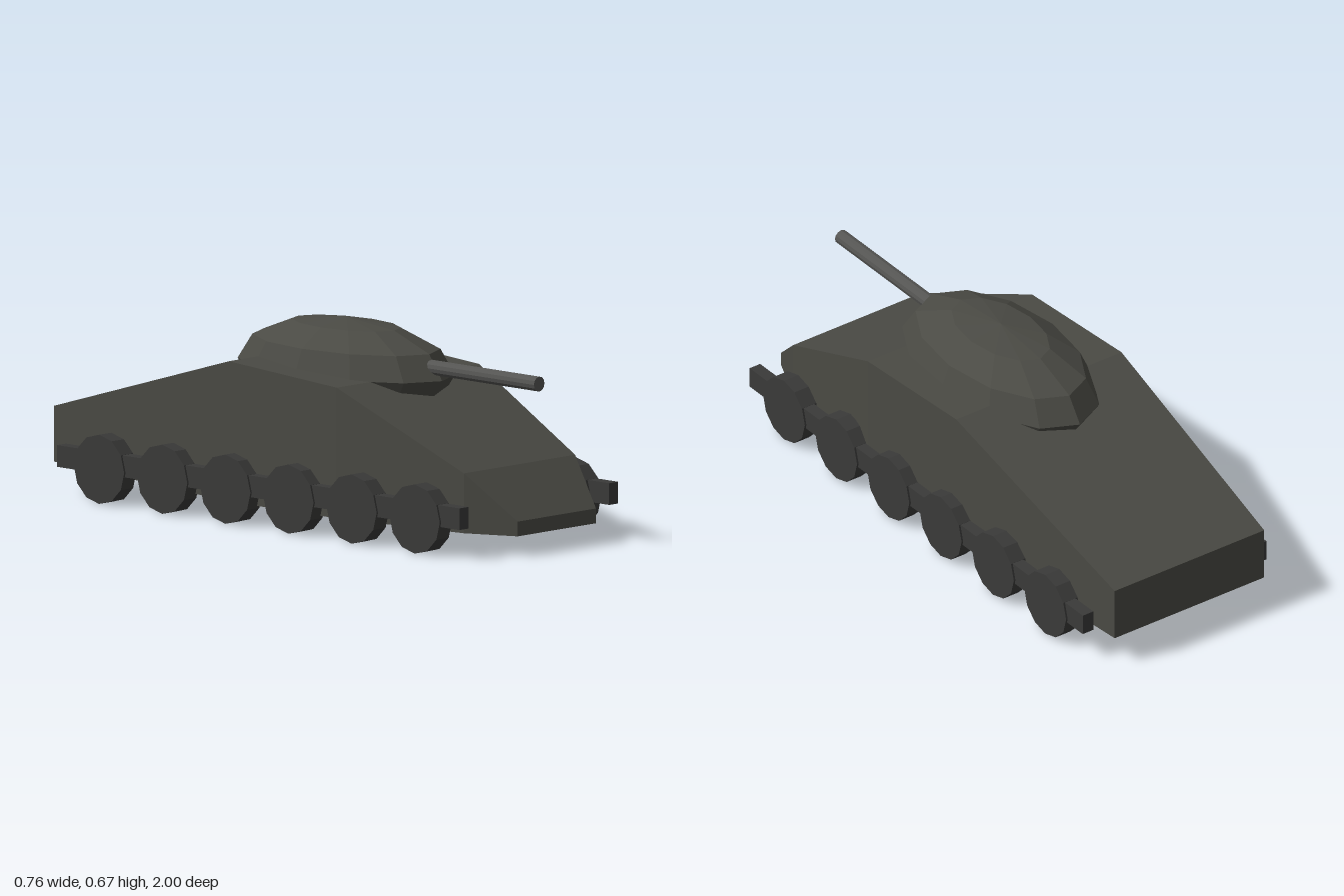
import * as THREE from 'three';

const material = (color) => new THREE.MeshStandardMaterial({ color, flatShading: true });

function addMesh(parent, name, geometry, mat, x = 0, y = 0, z = 0) {
  const mesh = new THREE.Mesh(geometry, mat);
  mesh.name = name;
  mesh.position.set(x, y, z);
  parent.add(mesh);
  return mesh;
}

// Hull skinned over rectangular sections: [z, half width, bottom, top]
function hullGeometry() {
  const sections = [
    [1, 0.185, 0.066, 0.115],
    [0.83, 0.262, 0.066, 0.265],
    [0.32, 0.335, 0.066, 0.5],
    [-0.17, 0.337, 0.066, 0.532],
    [-1, 0.305, 0.1, 0.285],
  ];
  const positions = [];
  const index = [];
  for (const [z, w, b, t] of sections) positions.push(-w, b, z, w, b, z, w, t, z, -w, t, z);
  const quad = (a, b, c, d) => index.push(a, b, c, a, c, d);
  for (let s = 0; s < sections.length - 1; s++) {
    for (let k = 0; k < 4; k++) {
      const a = s * 4 + k, b = s * 4 + (k + 1) % 4;
      quad(a, a + 4, b + 4, b);
    }
  }
  quad(0, 1, 2, 3);
  const e = (sections.length - 1) * 4;
  quad(e + 3, e + 2, e + 1, e);
  const indexed = new THREE.BufferGeometry();
  indexed.setAttribute('position', new THREE.Float32BufferAttribute(positions, 3));
  indexed.setIndex(index);
  const geometry = indexed.toNonIndexed();
  geometry.computeVertexNormals();
  return geometry;
}

export function createModel() {
  const model = new THREE.Group();
  model.name = 'tank';
  const armour = material(0x4a4a44);
  const gunMetal = material(0x555553);
  const running = material(0x3a3a39);

  addMesh(model, 'hull', hullGeometry(), armour);

  // Faceted egg-shaped turret, half sunk in the hull
  const dome = new THREE.SphereGeometry(1, 12, 6).scale(0.243, 0.165, 0.437);
  addMesh(model, 'turret', dome, armour, 0, 0.5, 0.04);

  // Gun
  const barrel = new THREE.CylinderGeometry(0.025, 0.025, 0.6, 12).rotateX(Math.PI / 2);
  addMesh(model, 'gunBarrel', barrel, gunMetal, 0, 0.541, 0.62);

  // Running gear on both sides
  const bar = new THREE.BoxGeometry(0.043, 0.072, 1.836);
  const wheel = new THREE.CylinderGeometry(0.115, 0.115, 0.058, 12).rotateZ(Math.PI / 2);
  for (const side of [1, -1]) {
    const gear = new THREE.Group();
    gear.name = side > 0 ? 'leftTrack' : 'rightTrack';
    model.add(gear);
    addMesh(gear, 'trackBar', bar, running, side * 0.353, 0.136, 0);
    for (let i = 0; i < 6; i++) {
      addMesh(gear, 'roadWheel', wheel, running, side * 0.352, 0.115, 0.72 - i * 0.288);
    }
  }
  return model;
}
